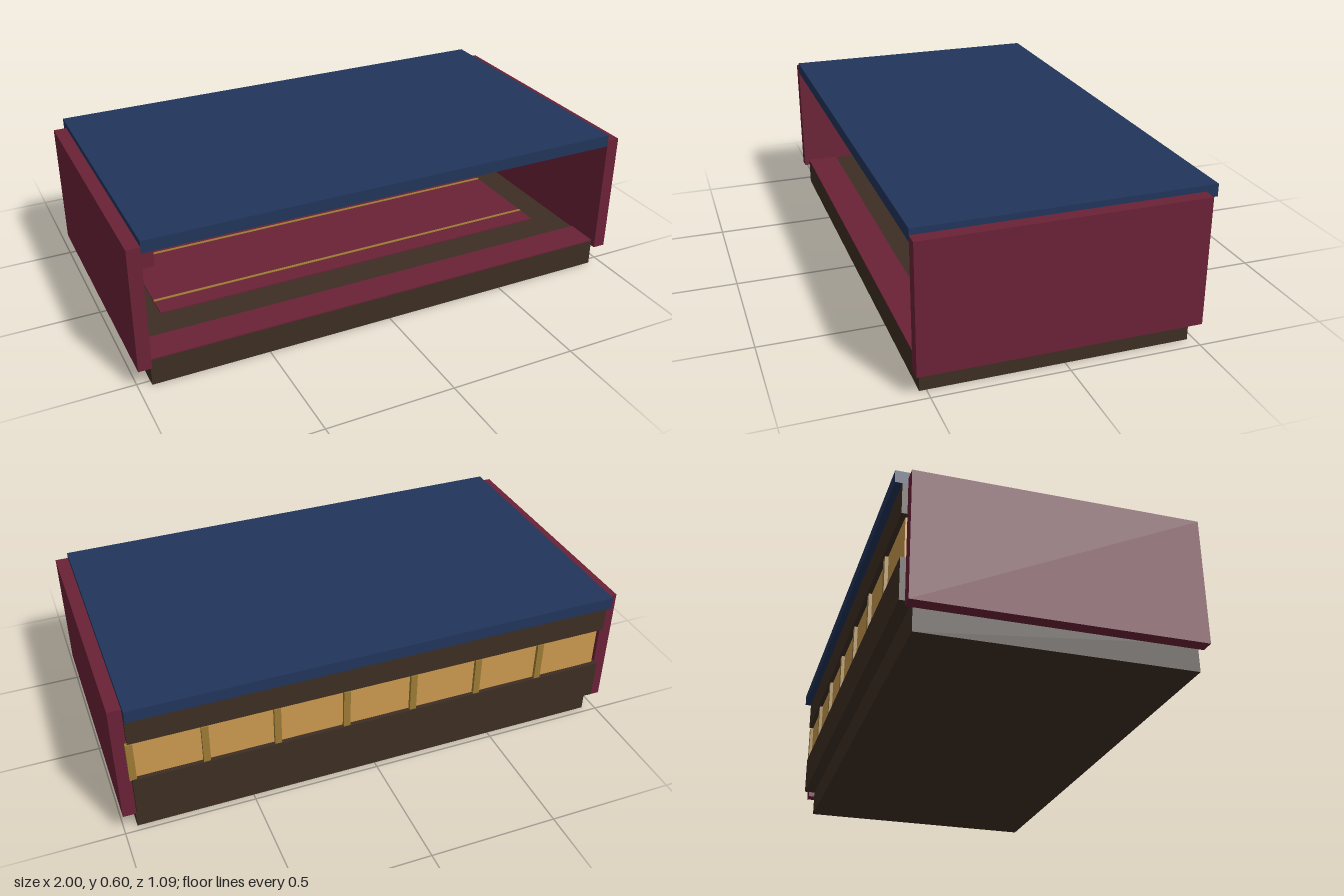
import * as THREE from 'three';

export function createModel() {
  const model = new THREE.Group();
  const mat = (name, color, extra = {}) => Object.assign(new THREE.MeshStandardMaterial({ color, ...extra }), { name });
  const red = mat('burgundy', 0x6b2237);
  const navy = mat('navy', 0x21355b);
  const wood = mat('darkWood', 0x3d2e23);
  const gold = mat('oldGold', 0x9c7b35);
  const amber = mat('amberGlass', 0xcb9a4e);

  const add = (name, geo, material, x = 0, y = 0, z = 0, parent = model) => {
    const mesh = new THREE.Mesh(geo, material);
    mesh.name = name;
    mesh.position.set(x, y, z);
    parent.add(mesh);
    return mesh;
  };
  // Box given by its limits on each axis
  const box = (name, material, [x0, x1], [y0, y1], [z0, z1], parent = model) =>
    add(name, new THREE.BoxGeometry(x1 - x0, y1 - y0, z1 - z0), material,
      (x0 + x1) / 2, (y0 + y1) / 2, (z0 + z1) / 2, parent);

  // Shell of the room
  const W = [-0.95, 0.95];
  box('floorBase', wood, W, [0, 0.106], [-0.475, 0.525]);
  box('roof', navy, W, [0.55, 0.597], [-0.546, 0.546]);
  box('leftWall', red, [0.95, 1], [0.086, 0.574], [-0.5, 0.546]);
  box('rightWall', red, [-1, -0.95], [0.086, 0.574], [-0.5, 0.546]);
  box('backWallLower', wood, W, [0.106, 0.265], [-0.52, -0.475]);
  box('backWallUpper', wood, W, [0.432, 0.55], [-0.52, -0.475]);

  // Window band with upright bars
  box('windowGlass', amber, [-0.935, 0.95], [0.265, 0.428], [-0.503, -0.495]);
  for (let i = 0; i < 7; i++) {
    const x = -0.675 + i * 0.27;
    box('windowBar', gold, [x - 0.013, x + 0.013], [0.262, 0.424], [-0.516, -0.482]);
  }

  // Floor coverings
  box('frontRunner', red, W, [0.106, 0.111], [0.395, 0.525]);
  box('rug', red, [-0.83, 0.83], [0.106, 0.111], [-0.27, 0.265]);
  for (const z of [0.18, -0.155])
    box('rugStripe', gold, [-0.83, 0.83], [0.11, 0.113], [z - 0.006, z + 0.006]);

  // Cabinet against the right wall
  box('cabinet', red, [-0.92, -0.752], [0.106, 0.373], [-0.32, -0.06]);

  // Pointed hanging banners
  const pennant = new THREE.Shape([[-0.083, 0.54], [-0.083, 0.27], [0, 0.217], [0.083, 0.27], [0.083, 0.54]]
    .map(([x, y]) => new THREE.Vector2(x, y)));
  const bannerGeo = new THREE.ExtrudeGeometry(pennant, { depth: 0.008, bevelEnabled: false });
  for (const s of [-1, 1]) add('banner', bannerGeo, gold, s * 0.737, 0, -0.44);

  // Ceiling lamps
  const lampGeo = new THREE.CylinderGeometry(0.016, 0.012, 0.018, 12);
  for (let i = -2; i <= 2; i++) add('ceilingLamp', lampGeo, gold, i * 0.38, 0.542, -0.2);

  // Table with four legs and a goblet
  const table = new THREE.Group();
  table.name = 'table';
  model.add(table);
  box('tableTop', red, [-0.2, 0.2], [0.22, 0.234], [-0.37, -0.17], table);
  box('tableInlay', gold, [-0.195, 0.195], [0.234, 0.24], [-0.365, -0.175], table);
  for (const x of [-0.18, 0.18]) for (const z of [-0.35, -0.19])
    box('tableLeg', gold, [x - 0.012, x + 0.012], [0.106, 0.22], [z - 0.012, z + 0.012], table);
  const goblet = new THREE.LatheGeometry([[0, 0], [0.01, 0], [0.003, 0.006], [0.003, 0.012], [0.012, 0.024], [0, 0.024]]
    .map(([r, y]) => new THREE.Vector2(r, y)), 12);
  add('goblet', goblet, gold, 0.15, 0.24, -0.25, table);

  // Chair behind the table
  const chair = new THREE.Group();
  chair.name = 'chair';
  model.add(chair);
  box('chairSeat', red, [-0.055, 0.055], [0.106, 0.185], [-0.45, -0.385], chair);
  box('chairBack', red, [-0.063, 0.063], [0.18, 0.342], [-0.465, -0.445], chair);
  box('chairCrest', gold, [-0.073, 0.073], [0.342, 0.355], [-0.468, -0.442], chair);

  // Ring chandelier on a rod
  const chandelier = new THREE.Group();
  chandelier.name = 'chandelier';
  model.add(chandelier);
  chandelier.position.z = -0.2;
  add('chandelierRod', new THREE.CylinderGeometry(0.005, 0.005, 0.12, 8), gold, 0, 0.49, 0, chandelier);
  add('chandelierRing', new THREE.TorusGeometry(0.115, 0.006, 6, 28), gold, 0, 0.432, 0, chandelier).rotation.x = Math.PI / 2;
  for (let i = 0; i < 3; i++) {
    const arm = add('chandelierArm', new THREE.BoxGeometry(0.23, 0.006, 0.008), gold, 0, 0.434, 0, chandelier);
    arm.rotation.y = i * Math.PI / 3;
  }
  for (let i = 0; i < 6; i++) {
    const a = i * Math.PI / 3;
    add('candle', new THREE.CylinderGeometry(0.005, 0.005, 0.012, 8), gold,
      0.115 * Math.cos(a), 0.441, 0.115 * Math.sin(a), chandelier);
  }
  return model;
}
